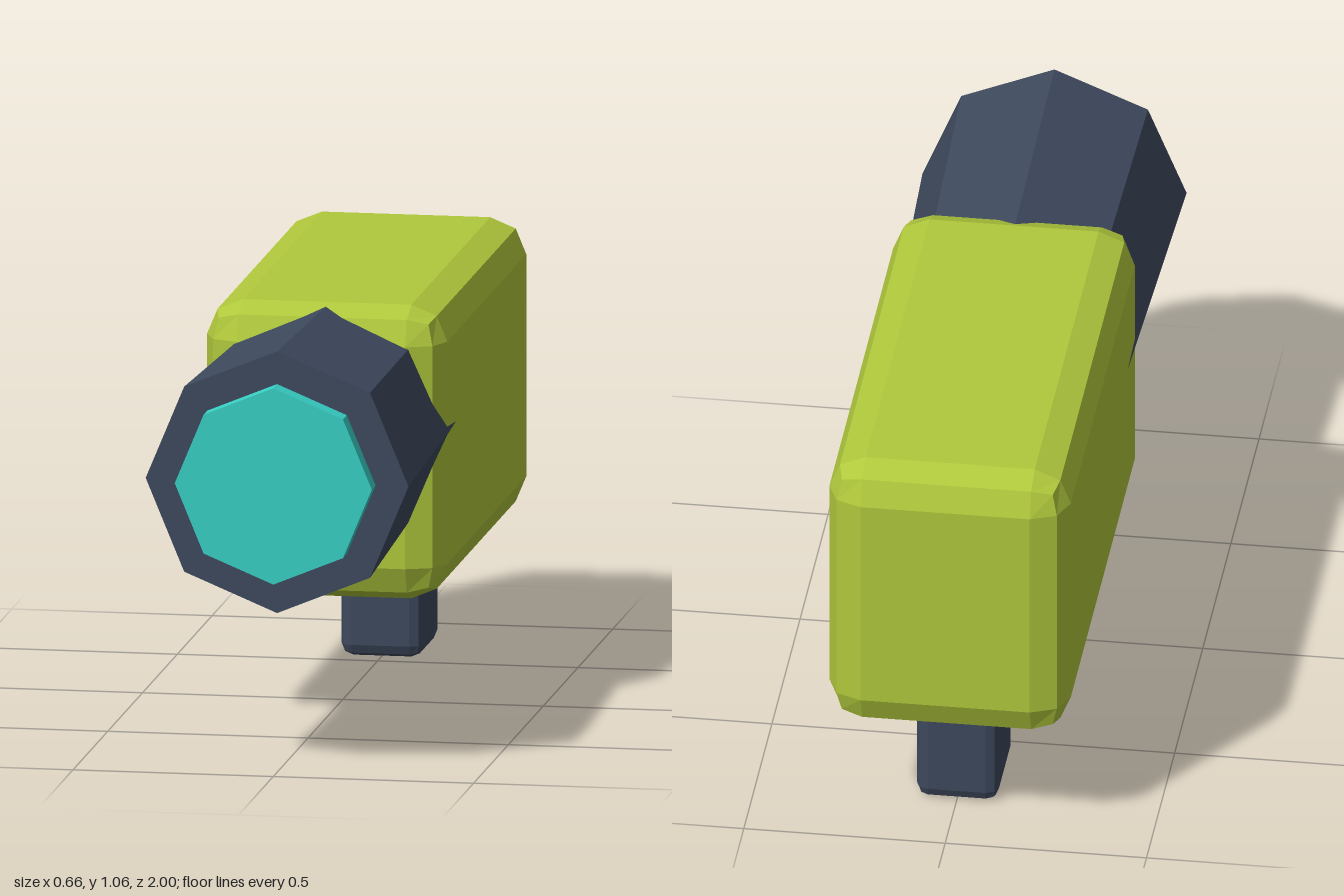
import * as THREE from 'three';
import { RoundedBoxGeometry } from 'three/addons/geometries/RoundedBoxGeometry.js';

const material = (name, color) => {
  const m = new THREE.MeshStandardMaterial({ color, flatShading: true });
  m.name = name;
  return m;
};

export function createModel() {
  const lime = material('lime', 0xb0c83c);
  const slate = material('slate', 0x3e495d);
  const teal = material('teal', 0x38d0c5);
  const model = new THREE.Group();
  model.name = 'model';

  const add = (name, geometry, mat, x, y, z) => {
    const mesh = new THREE.Mesh(geometry, mat);
    mesh.name = name;
    mesh.position.set(x, y, z);
    model.add(mesh);
  };

  // Eight-sided tube along z, with a corner at the top
  const octagon = (frontRadius, backRadius, length) =>
    new THREE.CylinderGeometry(frontRadius, backRadius, length, 8).rotateX(Math.PI / 2);

  // Bevelled main housing
  add('body', new RoundedBoxGeometry(0.6, 0.736, 1.315, 1, 0.09), lime, 0, 0.672, -0.3425);

  // Barrel flaring towards the front, sunk into the housing
  add('barrel', octagon(0.328, 0.3, 0.845), slate, 0, 0.727, 0.5225);

  // Lens disc on the barrel's front
  add('lens', octagon(0.246, 0.246, 0.1), teal, 0, 0.727, 0.95);

  // Short foot under the rear
  add('foot', new RoundedBoxGeometry(0.204, 0.4, 0.26, 1, 0.03), slate, 0, 0.2, -0.67);

  return model;
}
